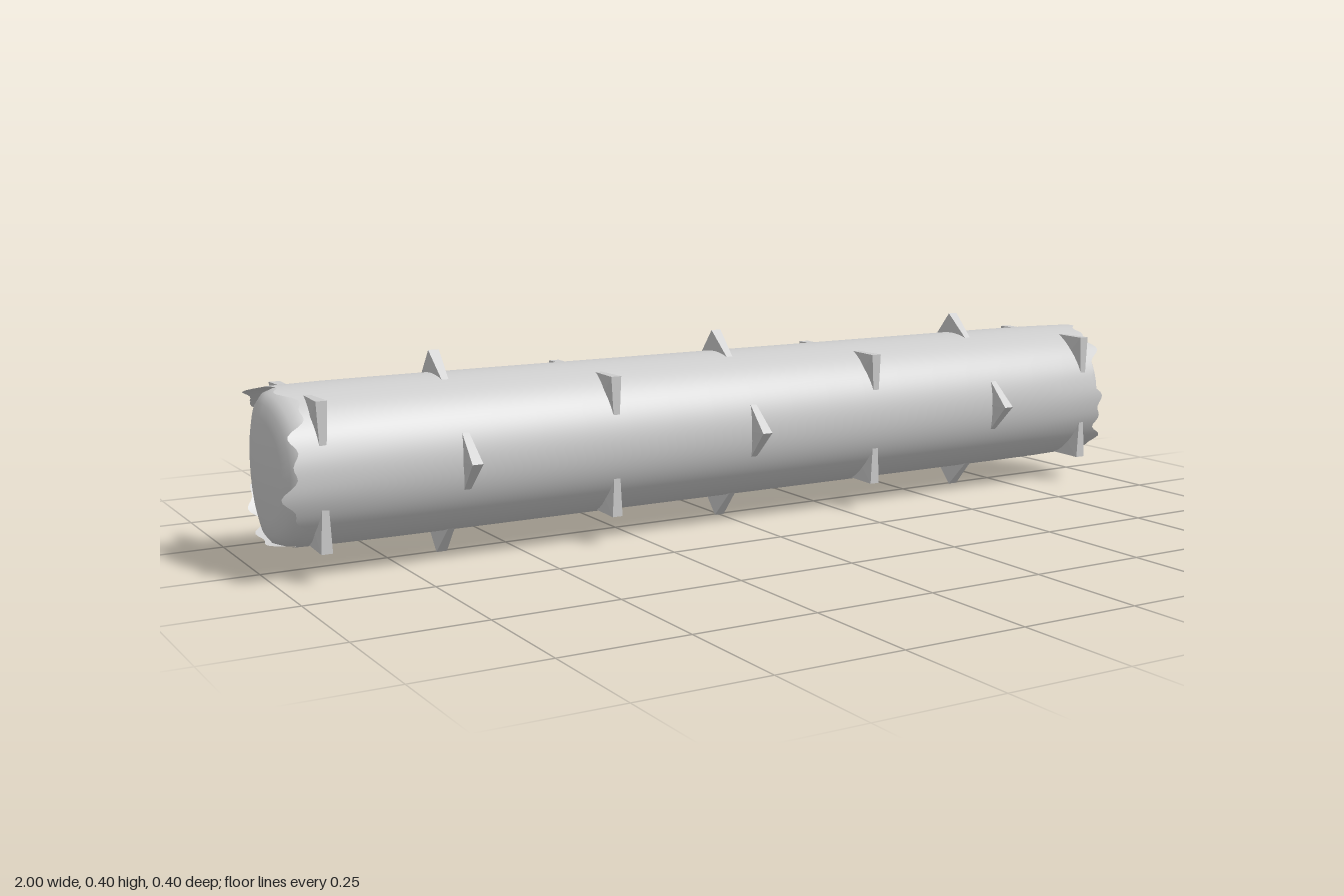
import * as THREE from 'three';
import { mergeVertices } from 'three/addons/utils/BufferGeometryUtils.js';

const AXIS_Y = 0.2;

// Rounded inner core: a lathe laid along x, its ends pinched into a soft upright ridge
function coreGeometry() {
  const cap = [[0.151, 0.93], [0.149, 0.955], [0.142, 0.974], [0.125, 0.987], [0.1, 0.993], [0.05, 0.998], [0, 1]];
  const profile = [...cap.map(([r, x]) => [r, -x]).reverse(), ...cap].map(([r, x]) => new THREE.Vector2(r, x));
  let geo = new THREE.LatheGeometry(profile, 48);
  geo.rotateZ(-Math.PI / 2);
  const p = geo.attributes.position;
  for (let i = 0; i < p.count; i++) {
    const x = p.getX(i);
    if (Math.abs(x) > 0.95) p.setX(i, x - Math.sign(x) * 0.12 * Math.abs(p.getZ(i)));
  }
  geo.deleteAttribute('uv');
  geo.deleteAttribute('normal');
  geo = mergeVertices(geo);
  geo.computeVertexNormals();
  return geo;
}

// Outer skin: a sheet rolled round the core with ragged ends and one overlapping seam
function skinGeometry() {
  const geo = new THREE.PlaneGeometry(2, 1, 20, 120);
  const p = geo.attributes.position;
  const rag = (a, s) => 0.963 + 0.018 * Math.sin(3 * a + s) + 0.011 * Math.sin(8 * a + 2 * s) + 0.008 * Math.sin(17 * a + s);
  for (let i = 0; i < p.count; i++) {
    const u = p.getY(i) + 0.5;
    const x = p.getX(i);
    const a = -0.62 - u * (Math.PI * 2 + 0.12);
    const r = 0.1535 + 0.003 * u - 0.003 * Math.pow(Math.abs(x), 12);
    p.setXYZ(i, x * rag(a, x > 0 ? 0.6 : 2.9), AXIS_Y + r * Math.cos(a), r * Math.sin(a));
  }
  geo.computeVertexNormals();
  return geo;
}

// Triangular thorn with a square tip, thinning towards its two feet
function thornGeometry() {
  const foot = 0.075, tip = 0.2;
  const geo = new THREE.BoxGeometry(0.022, 0.06, foot * 2, 1, 1, 2);
  const p = geo.attributes.position;
  for (let i = 0; i < p.count; i++) {
    const t = Math.abs(p.getZ(i)) / foot;
    const y = p.getY(i) > 0 ? tip - t * foot : 0.12;
    p.setXYZ(i, p.getX(i) * (1 - 0.5 * t), y, p.getZ(i));
  }
  const flat = geo.toNonIndexed();
  flat.computeVertexNormals();
  return flat;
}

export function createModel() {
  const model = new THREE.Group();
  model.name = 'thornedLog';
  const grey = new THREE.MeshStandardMaterial({ color: 0xcccccc, side: THREE.DoubleSide });
  grey.name = 'light grey';

  const core = new THREE.Mesh(coreGeometry(), grey);
  core.name = 'core';
  core.position.y = AXIS_Y;
  const skin = new THREE.Mesh(skinGeometry(), grey);
  skin.name = 'outerSkin';
  model.add(core, skin);

  // Rings of four thorns, alternately upright and diagonal
  const thorn = thornGeometry();
  const rings = [
    { name: 'uprightThorn', xs: [-0.64, 0, 0.64], start: -0.035 },
    { name: 'diagonalThorn', xs: [-0.915, -0.318, 0.315, 0.912], start: Math.PI / 4 },
  ];
  for (const { name, xs, start } of rings) {
    for (const x of xs) {
      for (let k = 0; k < 4; k++) {
        const mesh = new THREE.Mesh(thorn, grey);
        mesh.name = name;
        mesh.position.set(x, AXIS_Y, 0);
        mesh.rotation.x = start + k * Math.PI / 2;
        model.add(mesh);
      }
    }
  }
  return model;
}
